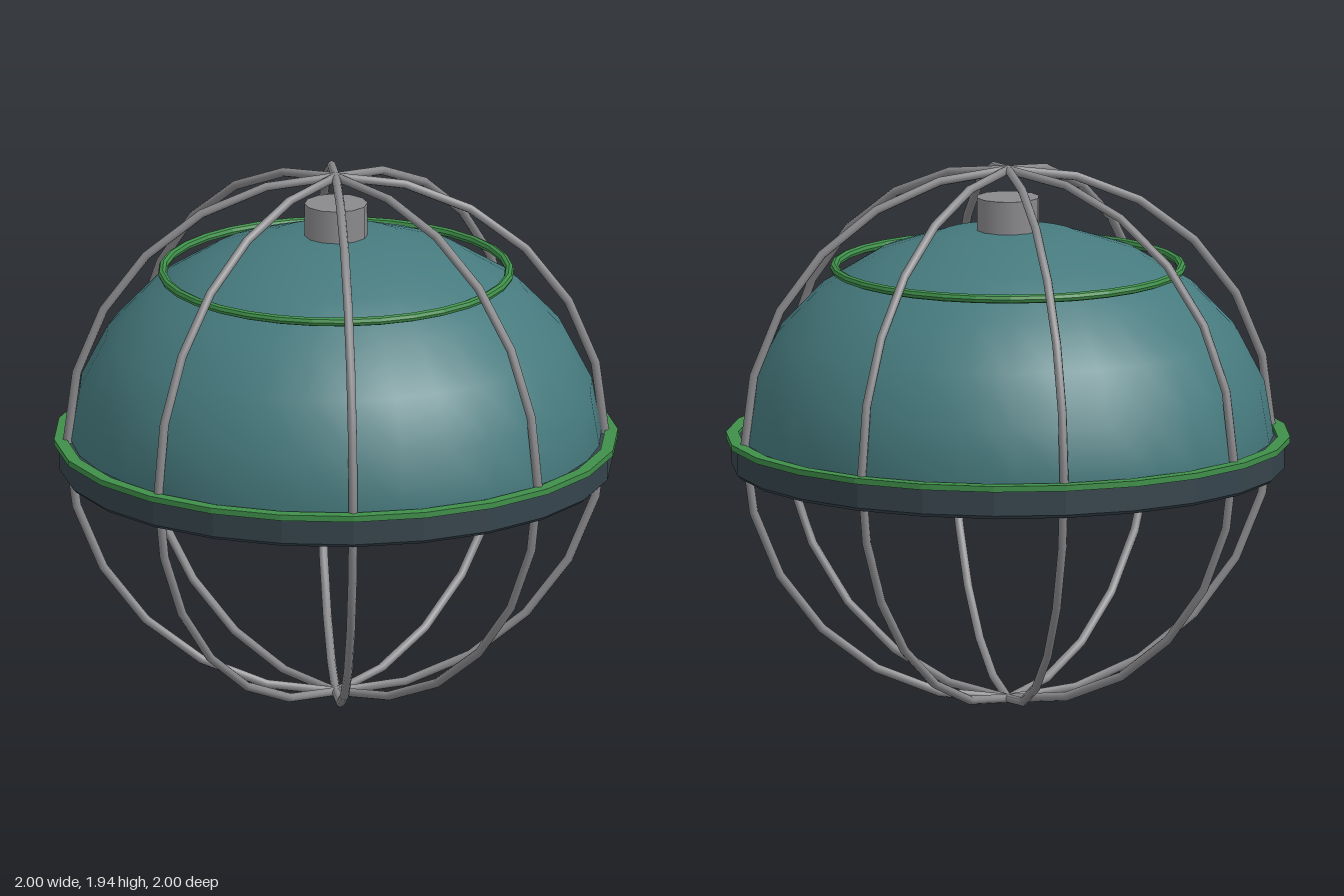
import * as THREE from 'three';

const CENTER_Y = 0.968; // height of the cage centre and of the rim top

function material(name, color, options = {}) {
  const m = new THREE.MeshStandardMaterial({ color, ...options });
  m.name = name;
  return m;
}

export function createModel() {
  const model = new THREE.Group();
  model.name = 'cagedDome';

  const teal = material('teal', 0x467a7e);
  const green = material('green', 0x3f8f4a, { flatShading: true });
  const slate = material('slate', 0x36444c, { flatShading: true });
  const grey = material('grey', 0x8a8a8d);

  const add = (name, geometry, mat, y = 0, parent = model) => {
    const mesh = new THREE.Mesh(geometry, mat);
    mesh.name = name;
    mesh.position.y = y;
    parent.add(mesh);
    return mesh;
  };
  const lathe = (points, sides) =>
    new THREE.LatheGeometry(points.map(([r, y]) => new THREE.Vector2(r, y)), sides);

  // Faceted base disc with a small bevel under its edge
  add('base', lathe([
    [0, 0.845], [0.968, 0.845], [0.98, 0.857], [0.98, 0.955], [0, 0.955],
  ], 24), slate);

  // Flat rim band around the top edge of the base
  add('rim', lathe([
    [0.955, 0.947], [1, 0.947], [1, CENTER_Y], [0.955, CENTER_Y], [0.955, 0.947],
  ], 24), green);

  // Flattened half-sphere dome
  const dome = new THREE.SphereGeometry(1, 32, 6, 0, Math.PI * 2, 0, Math.PI / 2);
  dome.scale(0.94, 0.755, 0.94);
  add('dome', dome, teal, 0.962);

  // Ring lying on the upper part of the dome
  const ring = new THREE.TorusGeometry(0.615, 0.016, 8, 32);
  ring.rotateX(Math.PI / 2);
  add('domeRing', ring, green, 1.57);

  // Cap on top of the dome
  add('cap', new THREE.CylinderGeometry(0.112, 0.112, 0.143, 12), grey, 1.7515);

  // Four full hoops crossing at the poles
  const cage = new THREE.Group();
  cage.name = 'cage';
  model.add(cage);
  const hoop = new THREE.TorusGeometry(0.952, 0.016, 8, 24);
  for (let i = 0; i < 4; i++) {
    add('cageHoop', hoop, grey, CENTER_Y, cage).rotation.y = (i * Math.PI) / 4;
  }

  return model;
}
